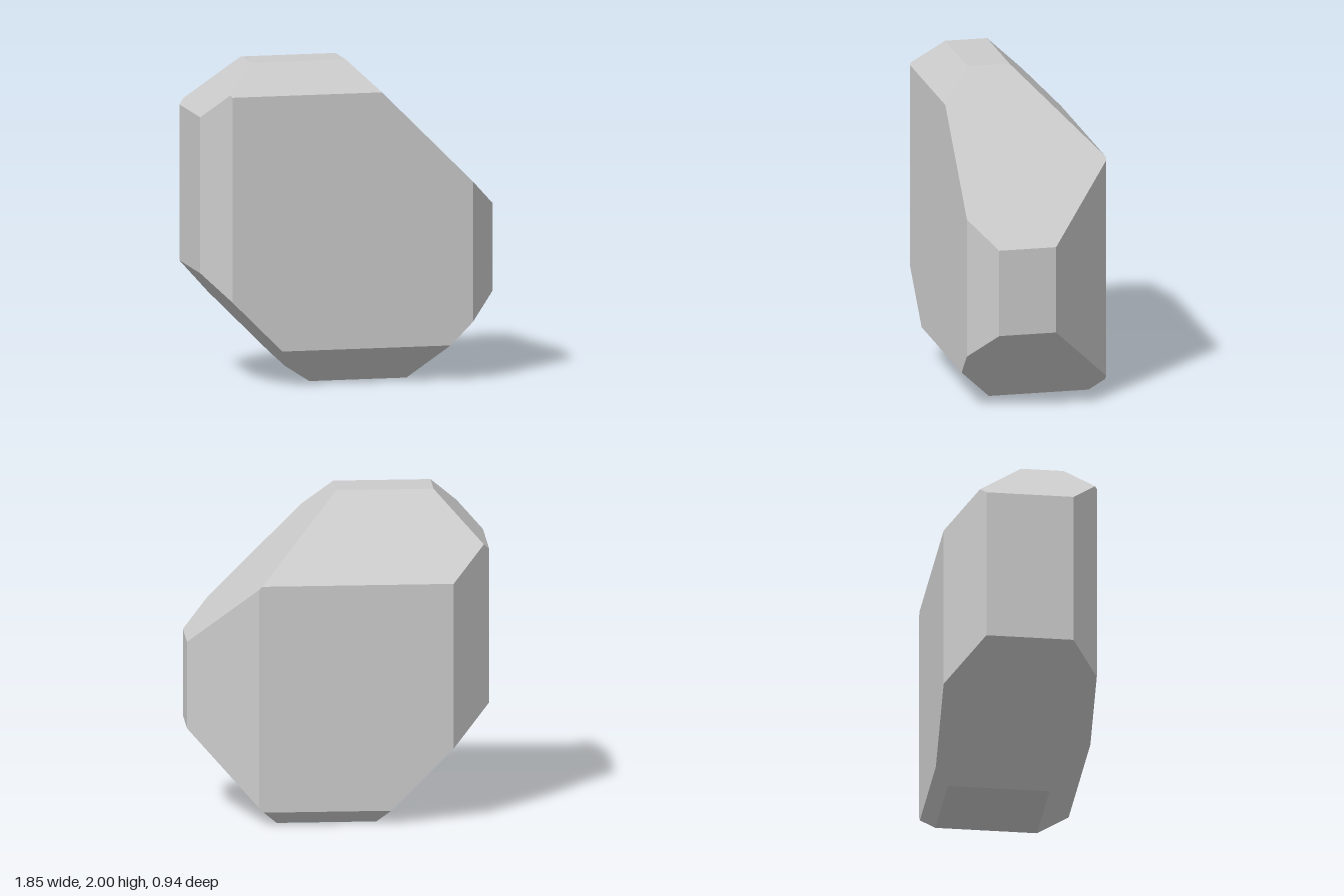
import * as THREE from 'three';

// Facet planes as [normal, offset]: the stone is everything with n . p <= offset
const FACETS = [
  // six flat sides
  [[1, 0, 0], 0.925], [[-1, 0, 0], 0.925],
  [[0, 1, 0], 2], [[0, -1, 0], 0],
  [[0, 0, 1], 0.47], [[0, 0, -1], 0.47],
  // bevels on the edges running front to back
  [[1, 1, 0], 2], [[-1, 1, 0], 2.6], [[1, -1, 0], 0.395], [[-1, -1, 0], 0.22],
  // bevels on the edges running left to right
  [[0, 1, 1], 2.285], [[0, 1, -1], 1.98], [[0, -1, 1], 0.245], [[0, -1, -1], 0.385],
  // bevels on the upright edges
  [[1, 0, 1], 1.23], [[-1, 0, 1], 1.23], [[1, 0, -1], 0.98], [[-1, 0, -1], 1.16],
].map(([n, d]) => ({ n: new THREE.Vector3(...n), d }));

const EPS = 1e-5;

// Corners: points where three planes meet that lie inside all the others
function findCorners(planes) {
  const corners = [];
  const bc = new THREE.Vector3(), ca = new THREE.Vector3(), ab = new THREE.Vector3();
  for (let i = 0; i < planes.length; i++)
    for (let j = i + 1; j < planes.length; j++)
      for (let k = j + 1; k < planes.length; k++) {
        const [a, b, c] = [planes[i], planes[j], planes[k]];
        bc.crossVectors(b.n, c.n);
        ca.crossVectors(c.n, a.n);
        ab.crossVectors(a.n, b.n);
        const det = a.n.dot(bc);
        if (Math.abs(det) < EPS) continue;
        const p = new THREE.Vector3()
          .addScaledVector(bc, a.d / det)
          .addScaledVector(ca, b.d / det)
          .addScaledVector(ab, c.d / det);
        const inside = planes.every(({ n, d }) => n.dot(p) <= d + EPS);
        if (inside && !corners.some((q) => q.distanceTo(p) < 1e-4)) corners.push(p);
      }
  return corners;
}

// Each facet: its corners sorted counter-clockwise about the normal, then fanned
function facetedGeometry(planes) {
  const corners = findCorners(planes);
  const positions = [];
  for (const { n, d } of planes) {
    const ring = corners.filter((p) => Math.abs(n.dot(p) - d) < 1e-4);
    if (ring.length < 3) continue;
    const centre = new THREE.Vector3();
    ring.forEach((p) => centre.addScaledVector(p, 1 / ring.length));
    const u = ring[0].clone().sub(centre).normalize();
    const v = n.clone().normalize().cross(u);
    const angle = (p) => {
      const r = p.clone().sub(centre);
      return Math.atan2(r.dot(v), r.dot(u));
    };
    ring.sort((p, q) => angle(p) - angle(q));
    for (let i = 1; i < ring.length - 1; i++)
      for (const p of [ring[0], ring[i], ring[i + 1]]) positions.push(p.x, p.y, p.z);
  }
  const geometry = new THREE.BufferGeometry();
  geometry.setAttribute('position', new THREE.Float32BufferAttribute(positions, 3));
  geometry.computeVertexNormals();
  return geometry;
}

export function createModel() {
  const group = new THREE.Group();
  group.name = 'facetedStone';
  const material = new THREE.MeshStandardMaterial({ color: 0xcccccc, flatShading: true });
  const stone = new THREE.Mesh(facetedGeometry(FACETS), material);
  stone.name = 'stone';
  group.add(stone);
  return group;
}
